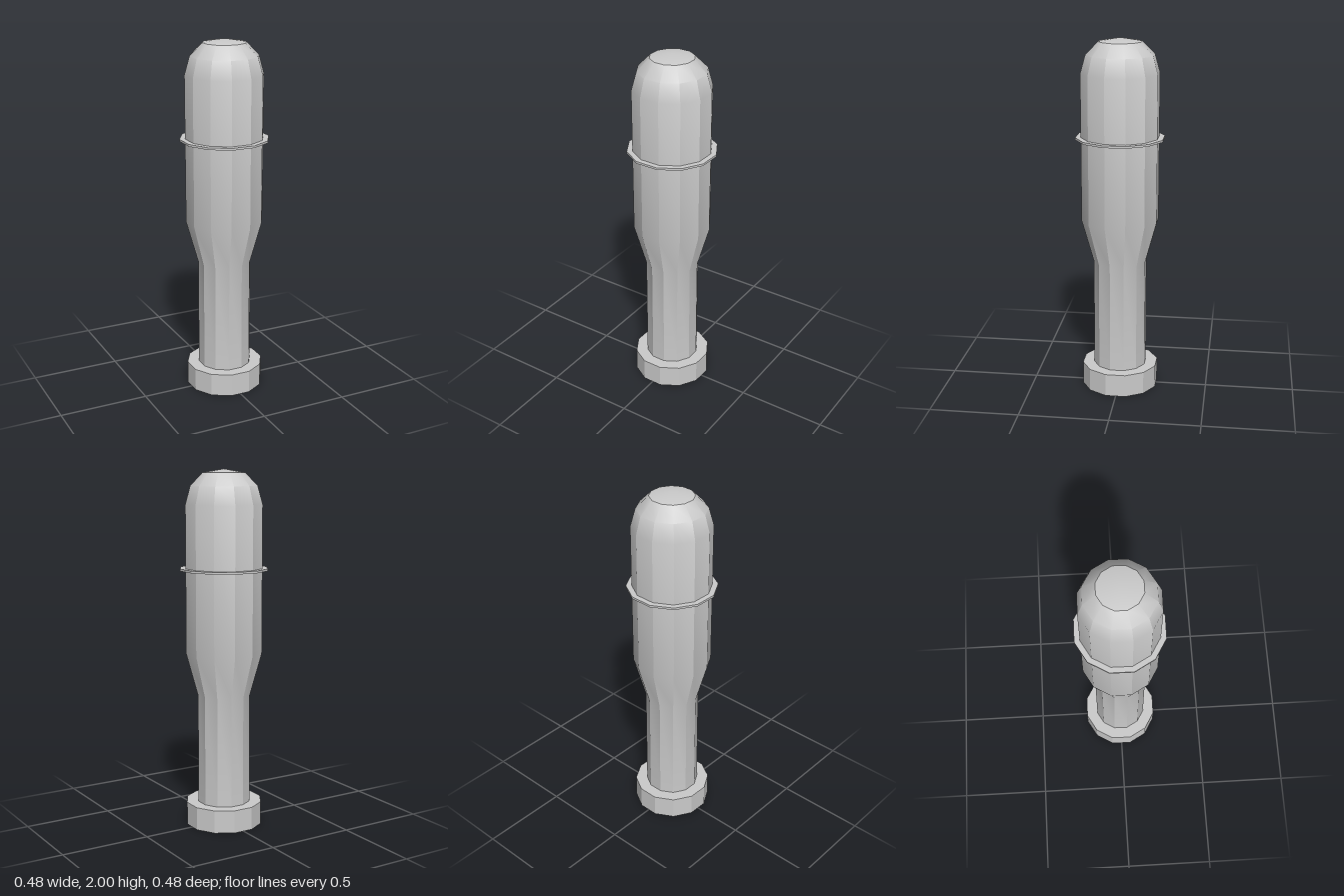
import * as THREE from 'three';
import { toCreasedNormals } from 'three/addons/utils/BufferGeometryUtils.js';

const SIDES = 12;
const TURN = THREE.MathUtils.degToRad(14.4);
const material = new THREE.MeshStandardMaterial({ color: 0xcccccc, side: THREE.DoubleSide });

// Twelve-sided shell from a profile of [radius, height] pairs, bottom to top
function shell(name, profile) {
  const points = profile.map(([r, y]) => new THREE.Vector2(r, y));
  const geometry = toCreasedNormals(new THREE.LatheGeometry(points, SIDES, TURN), 0.5);
  const mesh = new THREE.Mesh(geometry, material);
  mesh.name = name;
  return mesh;
}

export function createModel() {
  const group = new THREE.Group();
  group.name = 'domedHandle';

  // Open-bottomed foot with a flat shoulder
  group.add(shell('foot', [[0.217, 0], [0.217, 0.13], [0.15, 0.13]]));

  // Narrow grip flaring into the wide barrel with its rounded cap
  group.add(shell('body', [
    [0.15, 0.13], [0.15, 0.75], [0.217, 0.99], [0.217, 1.81],
    [0.189, 1.91], [0.12, 1.98], [0, 2],
  ]));

  // Thin collar around the barrel
  group.add(shell('collar', [[0.217, 1.45], [0.248, 1.45], [0.248, 1.462], [0.217, 1.462]]));

  return group;
}
